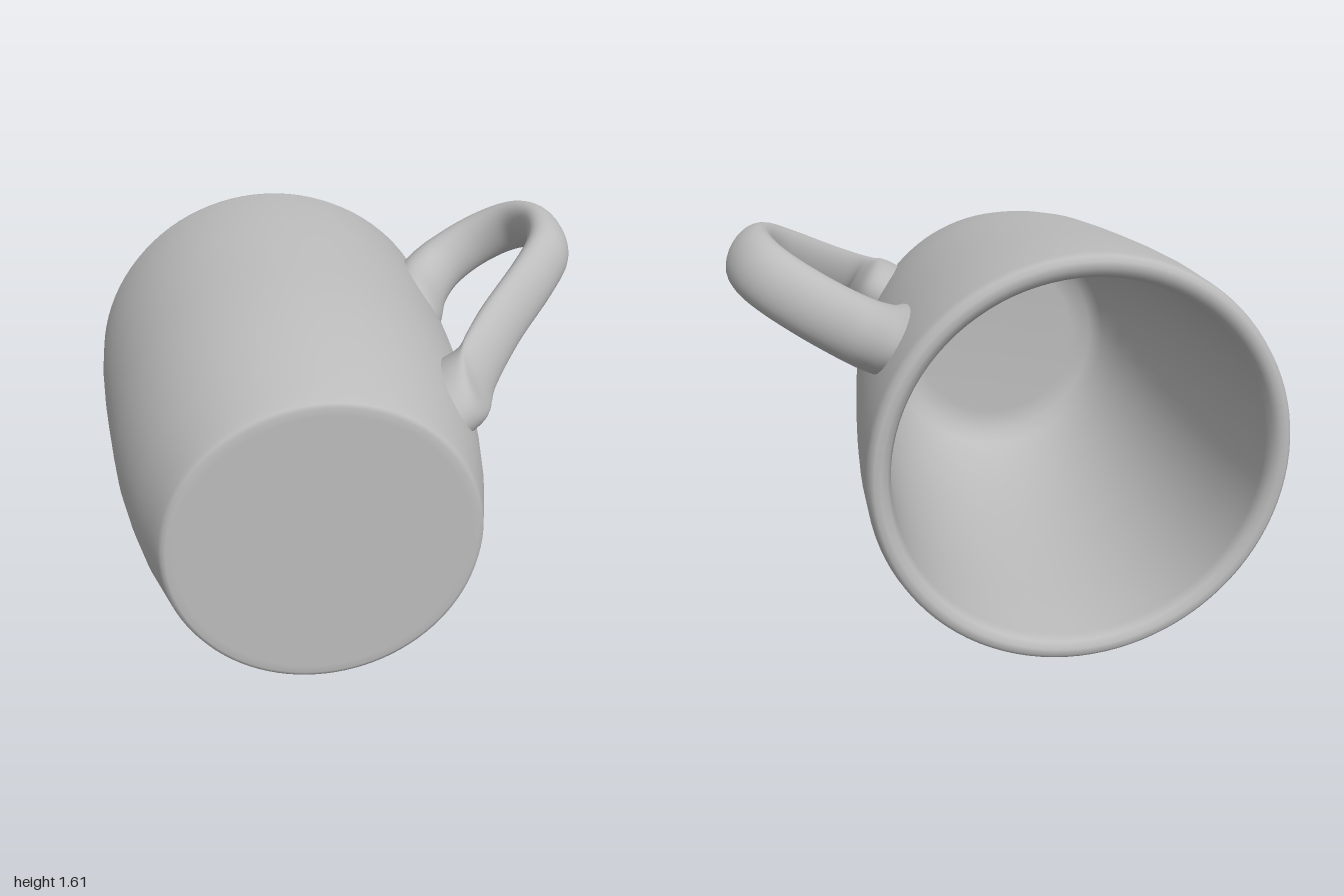
import * as THREE from 'three';

// Round body turned about its long axis: pairs of radius, position along z
function makeBody(material) {
  const lip = [[0.70, -0.80], [0.715, -0.835], [0.74, -0.85], [0.765, -0.85], [0.782, -0.835], [0.79, -0.80]];
  const inside = [[0, 0.74], [0.38, 0.74], [0.47, 0.72], [0.52, 0.67], [0.57, 0.55], [0.615, 0.38], [0.65, 0.15],
    [0.675, -0.15], [0.69, -0.5]];
  const outside = [[0.79, -0.6], [0.78, -0.4], [0.765, -0.2], [0.748, 0], [0.728, 0.2], [0.695, 0.4], [0.652, 0.6],
    [0.60, 0.78], [0.585, 0.83], [0.575, 0.85], [0.56, 0.856], [0.53, 0.857], [0, 0.857]];
  const profile = [...inside, ...lip, ...outside].map(([r, z]) => new THREE.Vector2(r, z));
  const geometry = new THREE.LatheGeometry(profile, 96);
  geometry.rotateX(Math.PI / 2);
  const mesh = new THREE.Mesh(geometry, material);
  mesh.name = 'cupBody';
  mesh.rotation.y = -0.03;
  mesh.position.set(-0.24, 0.79, 0);
  return mesh;
}

// Handle lofted from elliptical sections that flare where they meet the body
function makeHandle(material) {
  // outer radius, outer z, inner radius, inner z, half width
  const sections = [
    [0.60, 0.65, 0.68, 0.26, 0.13],
    [0.70, 0.60, 0.78, 0.27, 0.127],
    [0.78, 0.45, 0.85, 0.22, 0.123],
    [1.01, 0.23, 0.91, 0.15, 0.118],
    [1.23, 0.07, 1.13, -0.03, 0.115],
    [1.37, -0.07, 1.235, -0.15, 0.115],
    [1.42, -0.27, 1.28, -0.29, 0.115],
    [1.39, -0.45, 1.245, -0.41, 0.115],
    [1.29, -0.575, 1.17, -0.47, 0.115],
    [1.12, -0.65, 1.06, -0.495, 0.117],
    [0.95, -0.67, 0.94, -0.47, 0.122],
    [0.84, -0.66, 0.85, -0.38, 0.13],
    [0.775, -0.645, 0.785, -0.24, 0.138],
    [0.73, -0.63, 0.73, -0.15, 0.14],
  ];
  const outer = new THREE.CatmullRomCurve3(sections.map(([r, z, , , w]) => new THREE.Vector3(r, z, w)), false, 'catmullrom', 0.5);
  const inner = new THREE.CatmullRomCurve3(sections.map(([, , r, z, w]) => new THREE.Vector3(r, z, w)), false, 'catmullrom', 0.5);
  const angle = THREE.MathUtils.degToRad(32);
  const c = Math.cos(angle), s = Math.sin(angle);
  const rings = 78, sides = 28, positions = [], indices = [];
  for (let i = 0; i <= rings; i++) {
    const o = outer.getPoint(i / rings), n = inner.getPoint(i / rings);
    for (let j = 0; j < sides; j++) {
      const t = (j / sides) * Math.PI * 2;
      const k = (1 + Math.cos(t)) / 2;
      const r = n.x + (o.x - n.x) * k, z = n.y + (o.y - n.y) * k;
      const side = Math.sin(t) * o.z;
      positions.push(-0.24 + r * c + side * s, 0.79 + r * s - side * c, z);
      if (i < rings) {
        const a = i * sides + j, b = i * sides + (j + 1) % sides;
        indices.push(a, b, a + sides, b, b + sides, a + sides);
      }
    }
  }
  const geometry = new THREE.BufferGeometry();
  geometry.setAttribute('position', new THREE.Float32BufferAttribute(positions, 3));
  geometry.setIndex(indices);
  geometry.computeVertexNormals();
  const mesh = new THREE.Mesh(geometry, material);
  mesh.name = 'handle';
  return mesh;
}

export function createModel() {
  const ceramic = new THREE.MeshStandardMaterial({ color: 0xbcbcbc });
  ceramic.name = 'greyCeramic';
  const group = new THREE.Group();
  group.name = 'mug';
  group.add(makeBody(ceramic), makeHandle(ceramic));
  return group;
}
